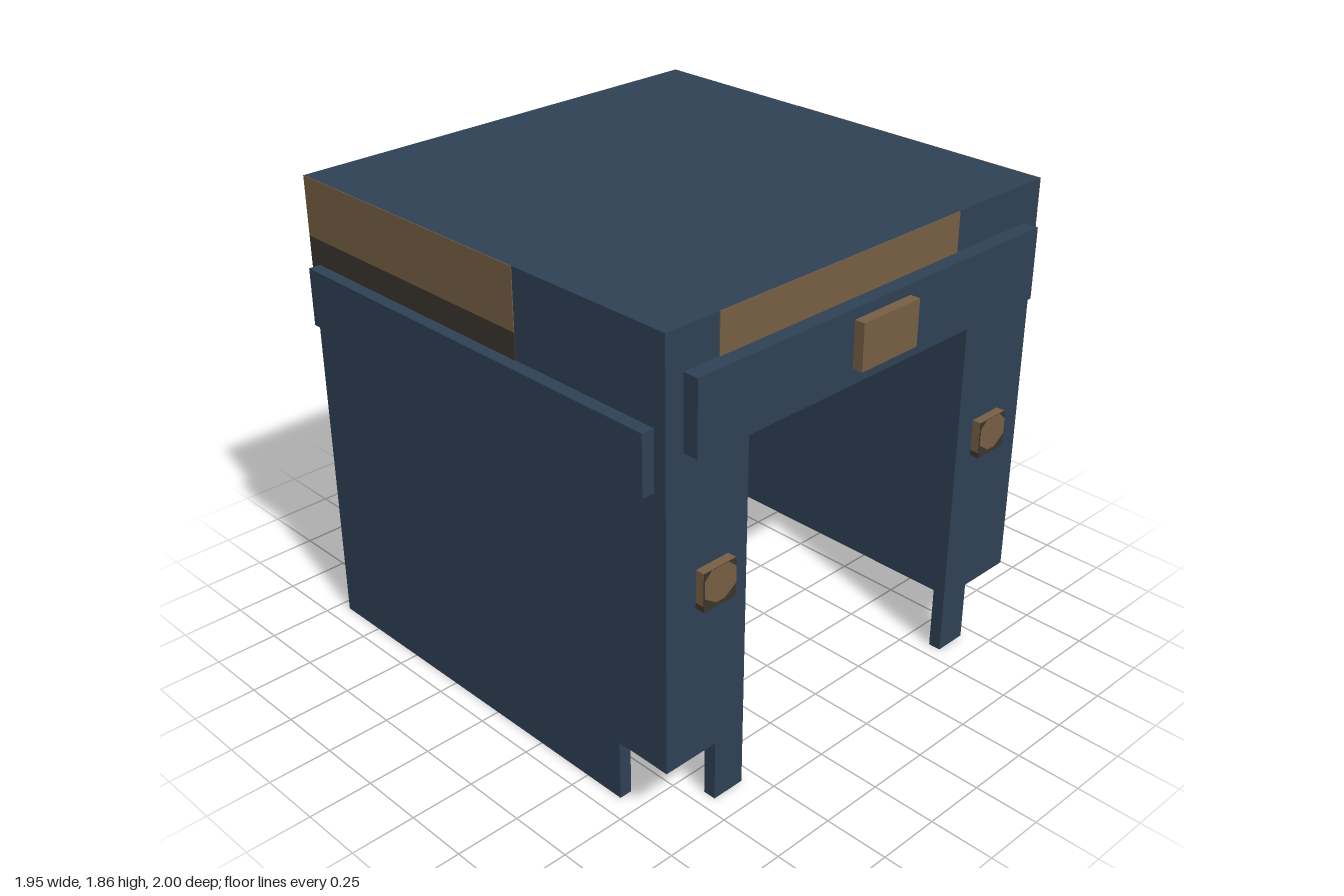
import * as THREE from 'three';

const mat = (name, color) => {
  const m = new THREE.MeshStandardMaterial({ color });
  m.name = name;
  return m;
};

export function createModel() {
  const blue = mat('slate blue', 0x2e4154);
  const gold = mat('dull gold', 0x775f44);
  const dark = mat('dark brown', 0x3b342e);
  const model = new THREE.Group();

  const add = (name, geometry, material, parent = model) => {
    const mesh = new THREE.Mesh(geometry, material);
    mesh.name = name;
    parent.add(mesh);
    return mesh;
  };
  // Box given by its lower and upper corners
  const box = (name, material, [x0, y0, z0], [x1, y1, z1], parent) =>
    add(name, new THREE.BoxGeometry(x1 - x0, y1 - y0, z1 - z0)
      .translate((x0 + x1) / 2, (y0 + y1) / 2, (z0 + z1) / 2), material, parent);
  // Flat outline extruded along +z
  const slab = (points, depth) => new THREE.ExtrudeGeometry(
    new THREE.Shape(points.map(([x, y]) => new THREE.Vector2(x, y))),
    { depth, bevelEnabled: false });

  const W = 0.925, F = 0.9, B = -0.95, H = 1.855, T = 0.05;

  // Front wall with the doorway and cut-away lower corners
  const half = [[0.56, 1.395], [0.56, 0], [0.695, 0], [0.695, 0.24], [W, 0.24], [W, H]];
  const outline = [...half, ...half.map(([x, y]) => [-x, y]).reverse()];
  add('frontWall', slab(outline, T).translate(0, 0, F - T), blue);

  // Back wall and roof
  box('backWall', blue, [-W, 0, B], [W, H, B + T]);
  box('roof', blue, [-W + T, H - T, B + T], [W - T, H, F - T]);

  // Side walls, notched at the front foot, with their trim rails
  const sidePoints = [[B + T, 0], [0.67, 0], [0.67, 0.24], [F - T, 0.24], [F - T, H], [B + T, H]];
  for (const s of [1, -1]) {
    const side = s > 0 ? 'left' : 'right';
    // The outline's x becomes z after turning, and the thickness runs along -x
    const wall = slab(sidePoints, T).rotateY(-Math.PI / 2);
    add(side + 'Wall', wall.translate(s > 0 ? W : -W + T, 0, 0), blue);
    const x0 = s > 0 ? W : -W - T;
    box(side + 'Trim', blue, [x0, 1.3, -0.9], [x0 + T, 1.525, 0.85]);

    // Two-tone band below the roof
    const [z0, z1] = s > 0 ? [-0.255, F] : [B, 0.205];
    const p0 = s > 0 ? W : -W - 0.003;
    box(side + 'BandUpper', gold, [p0, 1.625, z0], [p0 + 0.003, H, z1]);
    box(side + 'BandLower', dark, [p0, 1.397, z0], [p0 + 0.003, 1.625, z1]);
  }

  // Front band, sign board and plate
  box('frontBandUpper', gold, [-0.7, 1.625, F], [0.46, H, F + 0.003]);
  box('frontBandLower', dark, [-0.47, 1.397, F], [0.47, 1.625, F + 0.003]);
  box('frontBoard', blue, [-0.85, 1.43, F], [0.85, 1.705, 0.96]);
  box('frontPlate', gold, [-0.14, 1.49, 0.96], [0.14, 1.665, 1.0]);

  // Vertical strip on the back
  box('backStrip', blue, [-0.09, 0.75, -1.0], [0.09, 1.725, B]);

  // Square lamps beside the doorway, each with an eight-sided gold face
  const lens = [[-0.038, 0.073], [-0.072, 0.042], [-0.072, -0.02], [-0.02, -0.055],
    [0.02, -0.055], [0.072, -0.02], [0.072, 0.042], [0.038, 0.073]];
  for (const s of [1, -1]) {
    const lamp = new THREE.Group();
    lamp.name = s > 0 ? 'leftLamp' : 'rightLamp';
    lamp.position.set(s * 0.72, 0.912, F);
    box('lampBody', gold, [-0.073, -0.052, 0], [0.073, 0.073, 0.035], lamp);
    box('lampBase', dark, [-0.073, -0.073, 0], [0.073, -0.052, 0.035], lamp);
    box('lampFrame', dark, [-0.073, -0.073, 0.035], [0.073, 0.073, 0.038], lamp);
    add('lampLens', slab(lens, 0.002).translate(0, 0, 0.038), gold, lamp);
    model.add(lamp);
  }
  return model;
}
